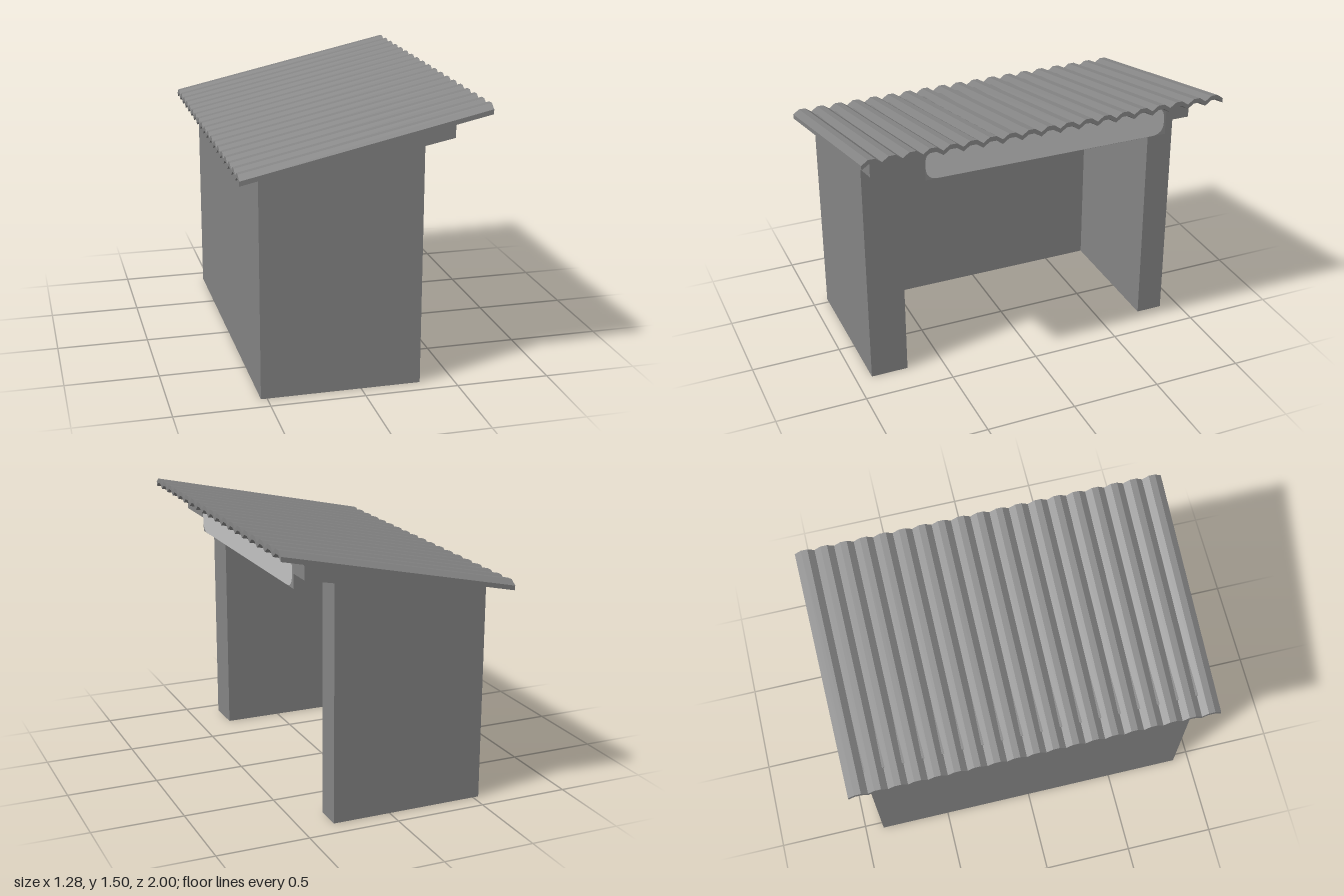
import * as THREE from 'three';

const ROOF_SLOPE = 0.218;
const SLAB_SLOPE = 0.2;
const slabTop = x => 1.3305 + SLAB_SLOPE * x;
const slabBottom = x => 1.221 + SLAB_SLOPE * x;

// Extrude a side outline (x, y) from z0 to z1
function sidePart(name, points, z0, z1, material) {
  const shape = new THREE.Shape(points.map(p => new THREE.Vector2(...p)));
  const geo = new THREE.ExtrudeGeometry(shape, { depth: z1 - z0, bevelEnabled: false });
  geo.translate(0, 0, z0);
  const mesh = new THREE.Mesh(geo, material);
  mesh.name = name;
  return mesh;
}

// Wall outline whose top meets the sloping slab
const wallOutline = (x0, x1) => [[x0, 0], [x1, 0], [x1, slabBottom(x1)], [x0, slabBottom(x0)]];

// Flat plate facing +x with rounded corners
function plate(name, z0, z1, y0, y1, r, x, material) {
  const s = new THREE.Shape();
  const a = -z0, b = -z1;
  s.moveTo(a + r, y0);
  s.lineTo(b - r, y0);
  s.quadraticCurveTo(b, y0, b, y0 + r);
  s.lineTo(b, y1 - r);
  s.quadraticCurveTo(b, y1, b - r, y1);
  s.lineTo(a + r, y1);
  s.quadraticCurveTo(a, y1, a, y1 - r);
  s.lineTo(a, y0 + r);
  s.quadraticCurveTo(a, y0, a + r, y0);
  const geo = new THREE.ShapeGeometry(s, 6);
  geo.rotateY(Math.PI / 2);
  geo.translate(x, 0, 0);
  const mesh = new THREE.Mesh(geo, material);
  mesh.name = name;
  return mesh;
}

// Corrugated sheet: flat crests and V valleys, sheared to the roof pitch
function corrugatedRoof(material) {
  const waves = 19, step = 2 / (waves * 3), length = 1.285;
  const crest = i => (i % 3 === 0 ? 0 : 0.025);
  const top = [], bottom = [];
  for (let i = 0; i <= waves * 3; i++) {
    const u = -1 + i * step;
    top.unshift(new THREE.Vector2(u, 1.335 + crest(i)));
    bottom.push(new THREE.Vector2(u, 1.31 + crest(i)));
  }
  const geo = new THREE.ExtrudeGeometry(new THREE.Shape([...bottom, ...top]), { depth: length, bevelEnabled: false });
  geo.rotateY(Math.PI / 2);
  geo.translate(-length / 2, 0, 0);
  const p = geo.attributes.position;
  for (let i = 0; i < p.count; i++) p.setY(i, p.getY(i) + ROOF_SLOPE * p.getX(i));
  geo.computeVertexNormals();
  const mesh = new THREE.Mesh(geo, material);
  mesh.name = 'corrugatedRoof';
  return mesh;
}

export function createModel() {
  const group = new THREE.Group();
  group.name = 'shelter';
  const grey = new THREE.MeshStandardMaterial({ color: 0x848484 });
  grey.name = 'concreteGrey';
  const light = new THREE.MeshStandardMaterial({ color: 0xc2c2c2, side: THREE.DoubleSide });
  light.name = 'panelLightGrey';
  const backing = new THREE.MeshStandardMaterial({ color: 0x8a8a8a, side: THREE.DoubleSide });
  backing.name = 'panelBorderGrey';

  // Walls around the open side
  const back = -0.533, front = 0.32;
  group.add(
    sidePart('leftWall', wallOutline(back, front), 0.702, 0.91, grey),
    sidePart('rightWall', wallOutline(back, front), -0.895, -0.745, grey),
    sidePart('backWall', wallOutline(back, -0.448), -0.745, 0.702, grey)
  );

  // Sloping ceiling slab overhanging the opening, its top set into the roof valleys
  const edge = 0.48;
  group.add(sidePart('ceilingSlab',
    [[back, slabBottom(back)], [edge, slabBottom(edge)], [edge, slabTop(edge)], [back, slabTop(back)]],
    -0.895, 0.91, grey));

  group.add(corrugatedRoof(grey));

  // Blank panel on the slab edge
  group.add(
    plate('panelBorder', 0.62, -0.757, 1.24, 1.41, 0.001, 0.481, backing),
    plate('panelFace', 0.618, -0.745, 1.242, 1.405, 0.07, 0.483, light)
  );
  return group;
}
